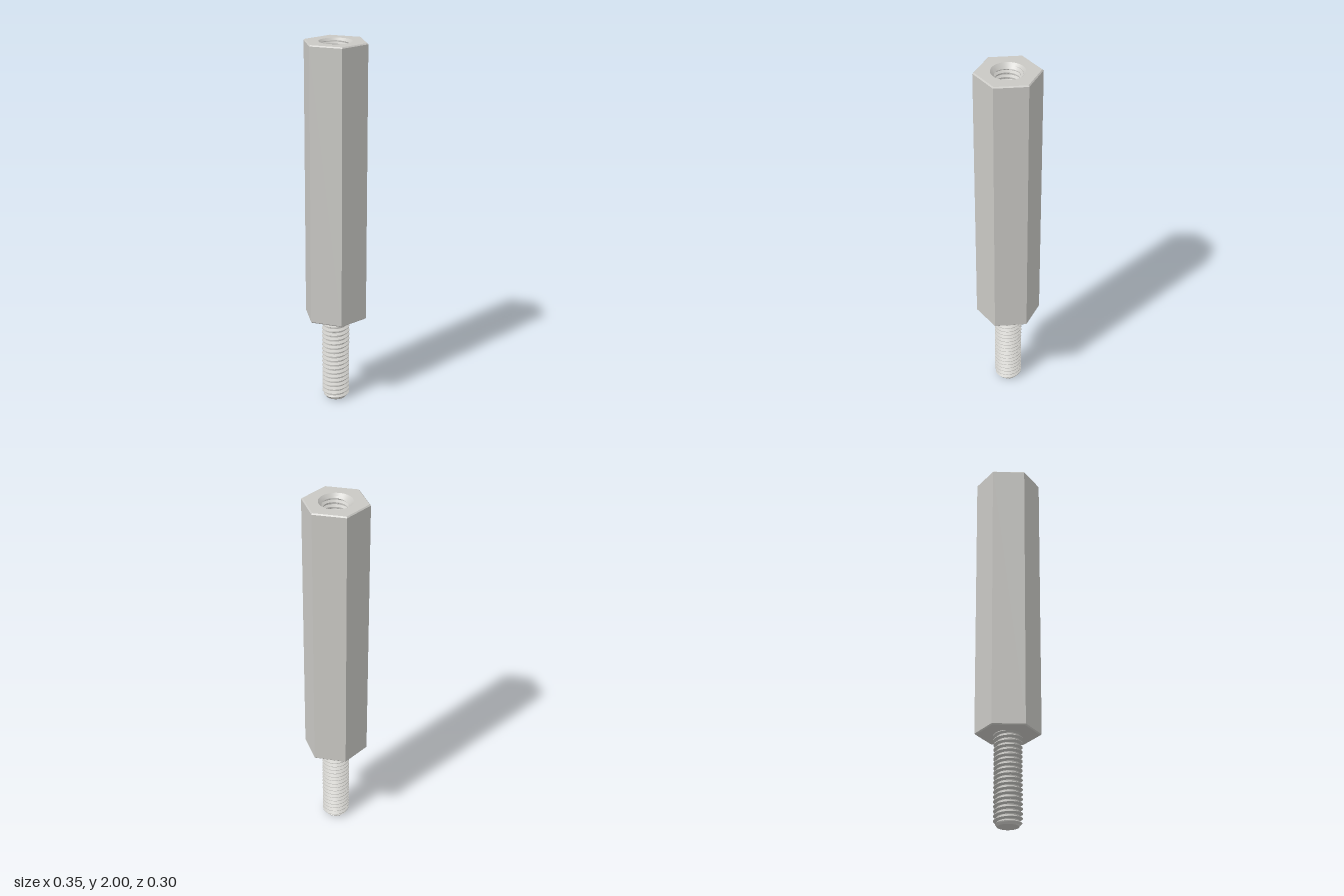
import * as THREE from 'three';
import { toCreasedNormals } from 'three/addons/utils/BufferGeometryUtils.js';

const PITCH = 0.0252, BODY_BOTTOM = 0.49, TOP = 2, HOLE_FLOOR = 1.5;
const HEX = 0.174, BEVEL = 0.006, HOLE_MOUTH = 0.088, ROOT = 0.059;

// Trapezoid thread: 0 at the root, 1 at the crest
function threadHeight(turns) {
  const f = turns - Math.floor(turns);
  if (f < 0.25) return 0;
  if (f < 0.56) return (f - 0.25) / 0.31;
  if (f < 0.69) return 1;
  return (1 - f) / 0.31;
}

// Right-handed helical surface between y0 and y1; radiusAt(height, y) shapes it
function threadGeometry(y0, y1, radiusAt, inward) {
  const segs = 48, steps = [0, 0.125, 0.25, 0.405, 0.56, 0.69, 0.845];
  const turns = Math.ceil((y1 - y0) / PITCH);
  const pos = [], index = [];
  const rows = (turns + 1) * steps.length + 1;
  for (let i = 0; i < rows; i++) {
    const f = Math.floor(i / steps.length) - 1 + steps[i % steps.length];
    for (let j = 0; j <= segs; j++) {
      const u = j / segs, a = u * Math.PI * 2;
      const y = THREE.MathUtils.clamp(y0 + (f + u) * PITCH, y0, y1);
      const r = radiusAt(threadHeight((y - y0) / PITCH - u + 1e-6), y);
      pos.push(r * Math.sin(a), y, r * Math.cos(a));
      if (i < rows - 1 && j < segs) {
        const p = i * (segs + 1) + j, q = p + segs + 1;
        if (inward) index.push(p, q, p + 1, p + 1, q, q + 1);
        else index.push(p, p + 1, q, p + 1, q + 1, q);
      }
    }
  }
  const g = new THREE.BufferGeometry();
  g.setAttribute('position', new THREE.Float32BufferAttribute(pos, 3));
  g.setIndex(index);
  return toCreasedNormals(g, 0.5);
}

export function createModel() {
  const metal = new THREE.MeshStandardMaterial({ color: 0xc9c8c4 });
  metal.name = 'satin metal';
  const model = new THREE.Group();
  model.name = 'hexStandoff';
  const add = (name, geometry) => {
    const mesh = new THREE.Mesh(geometry, metal);
    mesh.name = name;
    model.add(mesh);
    return mesh;
  };

  // Hexagonal body with bevelled ends, open at the top
  const inner = HEX - BEVEL * 1.1;
  const profile = [
    [0, BODY_BOTTOM], [inner, BODY_BOTTOM], [HEX, BODY_BOTTOM + BEVEL],
    [HEX, TOP - BEVEL], [inner, TOP],
  ].map(([x, y]) => new THREE.Vector2(x, y));
  const body = new THREE.LatheGeometry(profile, 6, Math.PI / 2).toNonIndexed();
  body.computeVertexNormals();
  add('hexBody', body);

  // Top face around the hole
  const face = new THREE.Shape();
  for (let k = 0; k < 6; k++) {
    const a = k * Math.PI / 3;
    face[k ? 'lineTo' : 'moveTo'](inner * Math.cos(a), inner * Math.sin(a));
  }
  face.closePath();
  const hole = new THREE.Path();
  hole.absarc(0, 0, HOLE_MOUTH, 0, Math.PI * 2, true);
  face.holes.push(hole);
  const topFace = new THREE.ShapeGeometry(face, 24);
  topFace.rotateX(-Math.PI / 2);
  add('topFace', topFace).position.y = TOP;

  // Tapped hole with a countersunk mouth and a flat floor
  add('tappedHole', threadGeometry(HOLE_FLOOR, TOP, (h, y) =>
    Math.max(0.063 + 0.013 * h, HOLE_MOUTH - (TOP - y)), true));
  const floor = new THREE.CircleGeometry(0.077, 48);
  floor.rotateX(-Math.PI / 2);
  add('holeFloor', floor).position.y = HOLE_FLOOR;

  // Threaded stud with a chamfered tip
  const tip = 0.056;
  add('threadedStud', threadGeometry(0, BODY_BOTTOM, (h, y) =>
    Math.min(ROOT + 0.016 * h, tip + y * 0.8), false));
  const end = new THREE.CircleGeometry(tip, 48);
  end.rotateX(Math.PI / 2);
  add('studTip', end);

  return model;
}
